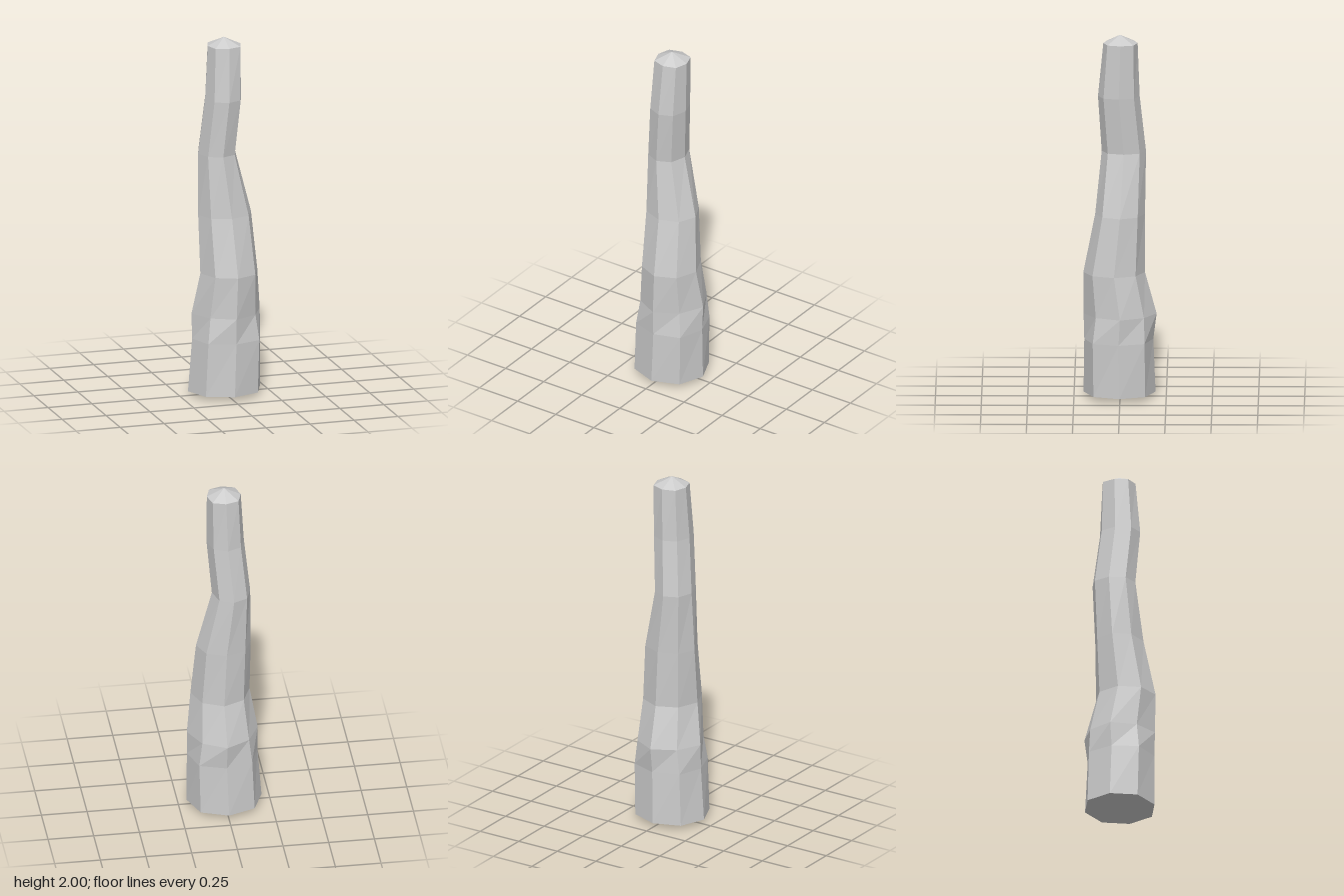
import * as THREE from 'three';

const SIDES = 8;

// Cross-sections: height, centre x, centre z, half width, half depth, diagonal factor
const RINGS = [
  [0.025, 0, 0.003, 0.205, 0.195, 0.72],
  [0.32, 0.01, 0.007, 0.193, 0.187, 0.75],
  [0.46, 0.01, 0, 0.194, 0.198, 0.66],
  [0.69, 0.018, 0.032, 0.162, 0.167, 0.70],
  [1.01, 0.004, 0, 0.15, 0.135, 0.71],
  [1.35, -0.035, -0.02, 0.105, 0.12, 0.72],
  [1.66, -0.007, 0.007, 0.102, 0.113, 0.73],
  [1.955, 0.002, -0.002, 0.093, 0.093, 0.76],
];

// Corner of an eight-sided cross-section, counted from the front towards +x
function corner([y, cx, cz, rx, rz, k], i) {
  const a = (i / SIDES) * Math.PI * 2;
  const scale = i % 2 ? k / Math.SQRT1_2 : 1;
  return [cx + Math.sin(a) * rx * scale, y, cz + Math.cos(a) * rz * scale];
}

export function createModel() {
  const positions = [];
  const index = [];
  for (const ring of RINGS) {
    for (let i = 0; i < SIDES; i++) positions.push(...corner(ring, i));
  }
  // Shallow points closing both ends
  const bottom = RINGS.length * SIDES;
  const top = bottom + 1;
  positions.push(0, 0, 0, 0, 2, 0);

  // Side facets
  for (let r = 0; r < RINGS.length - 1; r++) {
    for (let i = 0; i < SIDES; i++) {
      const a = r * SIDES + i;
      const b = r * SIDES + ((i + 1) % SIDES);
      index.push(a, b, b + SIDES, a, b + SIDES, a + SIDES);
    }
  }
  // End facets
  const last = (RINGS.length - 1) * SIDES;
  for (let i = 0; i < SIDES; i++) {
    const j = (i + 1) % SIDES;
    index.push(bottom, j, i, top, last + i, last + j);
  }

  const indexed = new THREE.BufferGeometry();
  indexed.setAttribute('position', new THREE.Float32BufferAttribute(positions, 3));
  indexed.setIndex(index);
  const geometry = indexed.toNonIndexed();
  geometry.computeVertexNormals();

  const trunk = new THREE.Mesh(
    geometry,
    new THREE.MeshStandardMaterial({ color: 0xcccccc, flatShading: true })
  );
  trunk.name = 'trunk';
  const group = new THREE.Group();
  group.name = 'crookedTrunk';
  group.add(trunk);
  return group;
}
